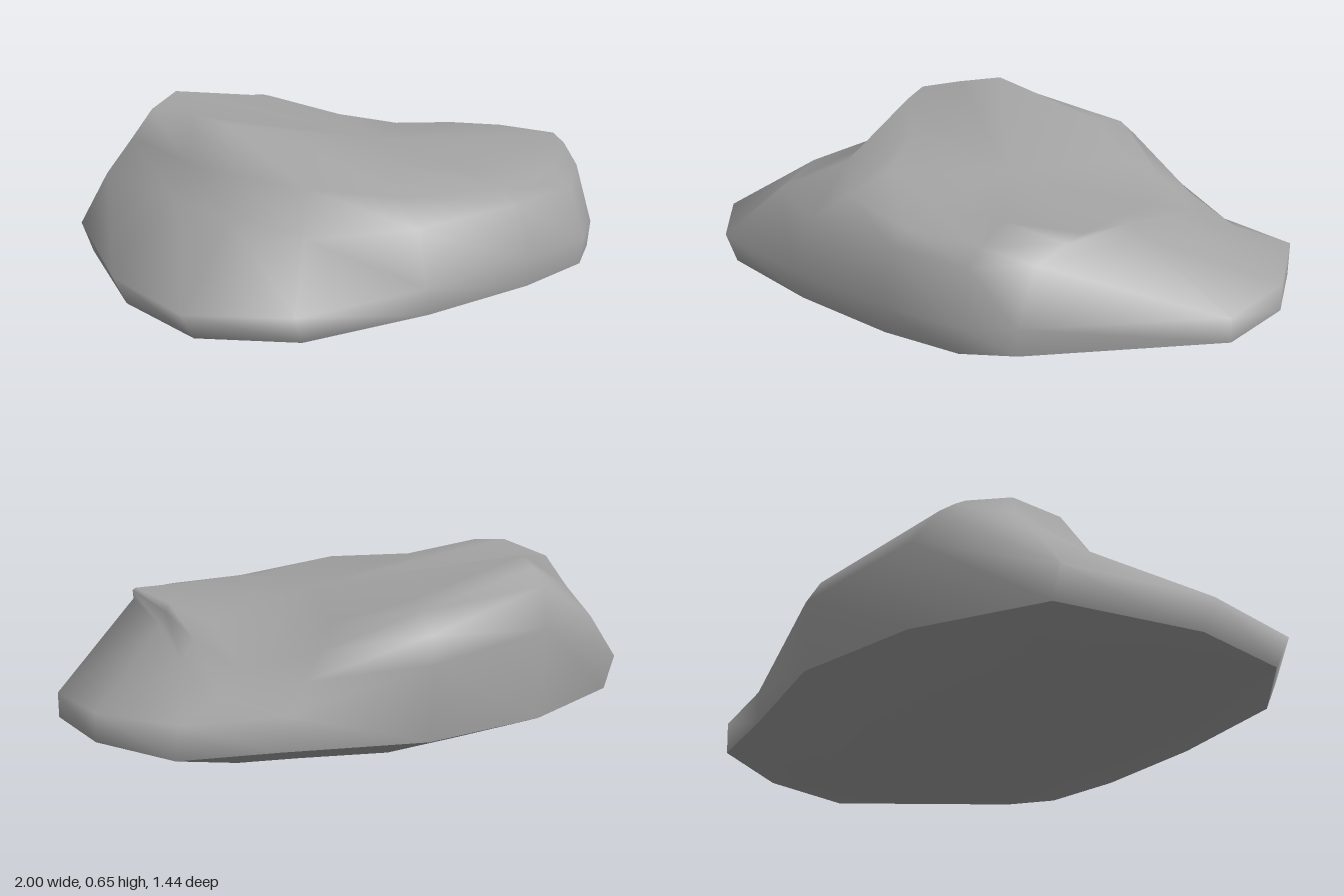
import * as THREE from 'three';

// Joins rings of equal length into a smooth skin, ordered from bottom to top
function loft(rings) {
  const n = rings[0].length;
  const index = [];
  for (let r = 0; r < rings.length - 1; r++) {
    for (let i = 0; i < n; i++) {
      const j = (i + 1) % n;
      const a = r * n + i, b = r * n + j, c = b + n, d = a + n;
      index.push(a, d, c, a, c, b);
    }
  }
  const geometry = new THREE.BufferGeometry();
  geometry.setAttribute('position', new THREE.Float32BufferAttribute(rings.flat(2), 3));
  geometry.setIndex(index);
  return geometry;
}

// Closes the first or last ring with a fan to one point
function cap(geometry, n, tip, top) {
  const pos = Array.from(geometry.attributes.position.array);
  const count = pos.length / 3;
  const start = top ? count - n : 0;
  const index = Array.from(geometry.index.array);
  for (let i = 0; i < n; i++) {
    const a = start + i, b = start + (i + 1) % n;
    if (top) index.push(a, count, b);
    else index.push(b, count, a);
  }
  geometry.setAttribute('position', new THREE.Float32BufferAttribute([...pos, ...tip], 3));
  geometry.setIndex(index);
  geometry.computeVertexNormals();
  return geometry;
}

export function createModel() {
  const model = new THREE.Group();
  model.name = 'rock';
  const stone = new THREE.MeshStandardMaterial({ color: 0xa3a3a3 });
  stone.name = 'grey stone';

  // Widest outline, clockwise from the back corner at -x
  const girth = [
    [-0.73, 0.27, -0.58], [-0.27, 0.45, -0.72], [0.19, 0.40, -0.72], [0.61, 0.27, -0.54],
    [0.90, 0.27, -0.43], [1.00, 0.25, -0.12], [0.97, 0.24, 0.20], [0.48, 0.25, 0.64],
    [0.32, 0.25, 0.72], [0.04, 0.25, 0.71], [-0.37, 0.25, 0.63], [-0.80, 0.25, 0.49],
    [-1.00, 0.25, 0.23], [-0.96, 0.26, -0.13],
  ];
  // Slope above the girth
  const shoulder = [
    [-0.62, 0.42, -0.57], [-0.32, 0.57, -0.65], [0.17, 0.48, -0.68], [0.50, 0.35, -0.50],
    [0.72, 0.31, -0.38], [0.70, 0.37, -0.12], [0.62, 0.42, 0.15], [0.50, 0.43, 0.56],
    [0.32, 0.42, 0.66], [0.04, 0.42, 0.65], [-0.34, 0.42, 0.57], [-0.64, 0.42, 0.37],
    [-0.70, 0.44, 0.12], [-0.68, 0.43, -0.15],
  ];
  // Edge of the plateau and foot of the steep wall below the peak
  const ledge = [
    [-0.53, 0.53, -0.54], [-0.33, 0.62, -0.59], [0.15, 0.54, -0.61], [0.40, 0.42, -0.44],
    [0.60, 0.36, -0.31], [0.63, 0.42, -0.08], [0.59, 0.46, 0.17], [0.55, 0.48, 0.47],
    [0.32, 0.46, 0.59], [0.04, 0.46, 0.58], [-0.28, 0.48, 0.46], [-0.47, 0.50, 0.22],
    [-0.53, 0.505, -0.02], [-0.54, 0.505, -0.25],
  ];
  // Top of the plateau, rising to the peak at the back
  const crown = [
    [-0.48, 0.63, -0.49], [-0.33, 0.655, -0.54], [0.10, 0.56, -0.52], [0.30, 0.48, -0.36],
    [0.46, 0.44, -0.22], [0.55, 0.46, -0.03], [0.57, 0.485, 0.18], [0.57, 0.50, 0.41],
    [0.30, 0.49, 0.43], [0.04, 0.49, 0.43], [-0.20, 0.54, 0.34], [-0.32, 0.58, 0.04],
    [-0.47, 0.64, -0.14], [-0.495, 0.655, -0.27],
  ];
  const n = girth.length;
  const base = girth.map(([x, , z]) => [x < 0 ? x * 0.95 : x, 0.16, z * 0.985]);
  const belly = girth.map(([x, , z]) => [0.05 + x * 0.62, 0.065, z * 0.65 - 0.01]);

  // Rounded upper stone
  const upper = cap(loft([base, girth, shoulder, ledge, crown]), n, [0.08, 0.51, 0.05], true);
  const upperMesh = new THREE.Mesh(upper, stone);
  upperMesh.name = 'upperStone';

  // Shallow underside, with a sharp edge where it meets the upper stone
  const lower = cap(loft([belly, base]), n, [0.05, 0, 0.01], false);
  const lowerMesh = new THREE.Mesh(lower, stone);
  lowerMesh.name = 'underside';

  model.add(upperMesh, lowerMesh);
  return model;
}
